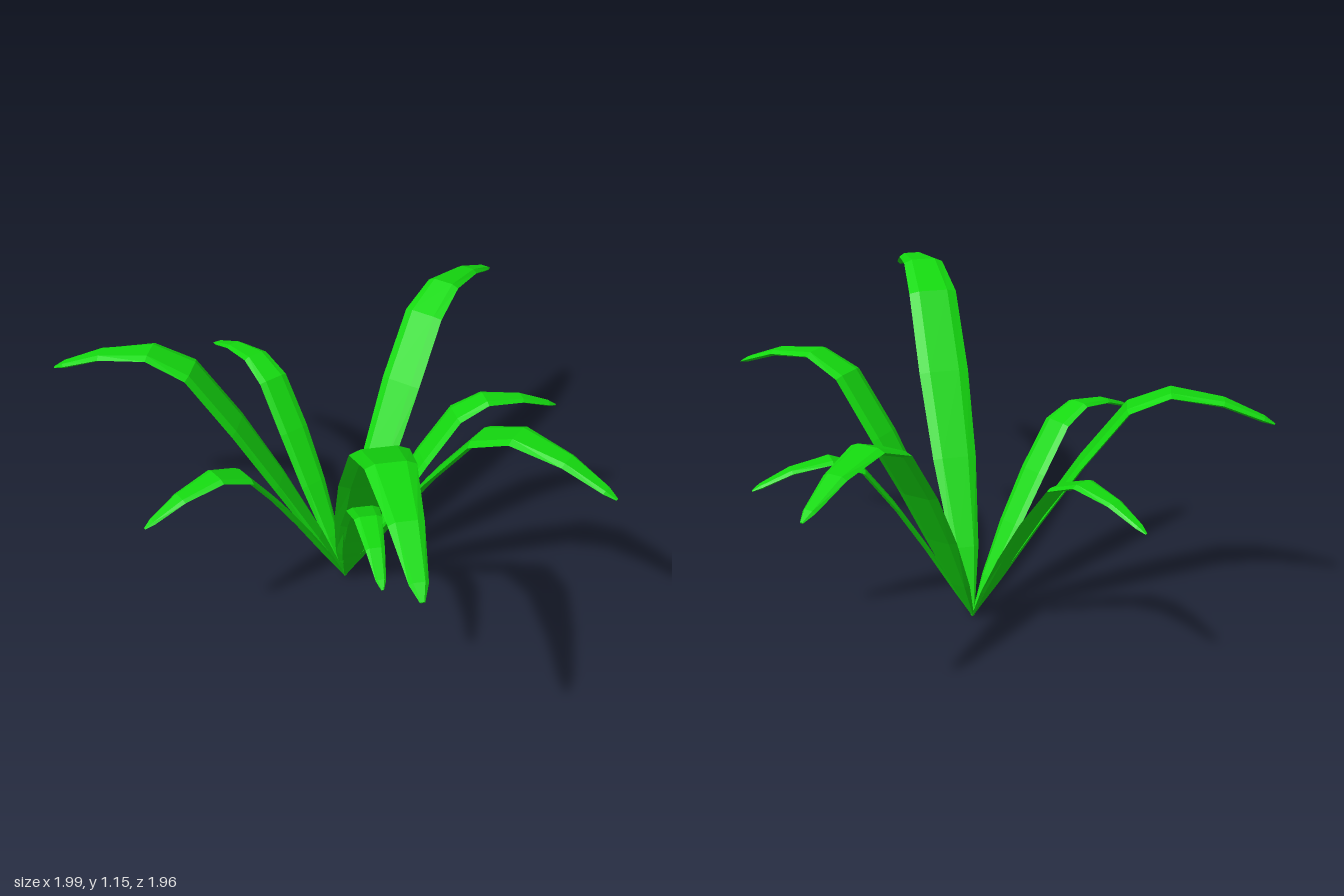
import * as THREE from 'three';

// Leaf stations: distance out, height, full width
const SPINE = [
  [0, 0.01, 0.012], [0.1, 0.19, 0.085], [0.24, 0.43, 0.135], [0.385, 0.66, 0.155],
  [0.54, 0.872, 0.15], [0.68, 0.932, 0.125], [0.86, 0.905, 0.085], [1.0, 0.85, 0.045], [1.04, 0.832, 0.012],
];
// Flattened six-sided section: across (times width), up (times thickness)
const SECTION = [[0.5, 0], [0.3, 1], [-0.3, 1], [-0.5, 0], [-0.3, -1], [0.3, -1]];

// Closed tube of sections along the arching spine, growing towards +x
function leafGeometry() {
  const pos = [], index = [], n = SECTION.length, last = SPINE.length - 1;
  SPINE.forEach(([r, y, w], i) => {
    const a = SPINE[Math.max(i - 1, 0)], b = SPINE[Math.min(i + 1, last)];
    const len = Math.hypot(b[0] - a[0], b[1] - a[1]);
    const nx = -(b[1] - a[1]) / len, ny = (b[0] - a[0]) / len;
    const t = Math.min(0.011, w * 0.2);
    for (const [u, v] of SECTION) pos.push(r + nx * v * t, y + ny * v * t, u * w);
  });
  for (let i = 0; i < last; i++) {
    for (let j = 0; j < n; j++) {
      const a = i * n + j, b = i * n + (j + 1) % n;
      index.push(a, a + n, b, b, a + n, b + n);
    }
  }
  // End caps
  for (let j = 1; j < n - 1; j++) {
    index.push(0, j, j + 1);
    index.push(last * n, last * n + j + 1, last * n + j);
  }
  const g = new THREE.BufferGeometry();
  g.setAttribute('position', new THREE.Float32BufferAttribute(pos, 3));
  g.setIndex(index);
  const flat = g.toNonIndexed();
  flat.computeVertexNormals();
  return flat;
}

export function createModel() {
  const plant = new THREE.Group();
  plant.name = 'leafyPlant';
  const material = new THREE.MeshStandardMaterial({ color: 0x14d90f, flatShading: true, side: THREE.DoubleSide });
  const geometry = leafGeometry();
  const root = [-0.05, 0.07];

  // Leaf tips (x, z); every leaf is the same shape scaled to its reach
  const tips = [
    [-0.09, -0.98], [0.46, -0.55], [0.99, 0.055], [0.855, 0.975],
    [0.49, 0.62], [-0.29, 0.845], [-0.995, 0.51], [-0.83, -0.16],
  ];
  tips.forEach(([x, z], i) => {
    const dx = x - root[0], dz = z - root[1];
    const leaf = new THREE.Mesh(geometry, material);
    leaf.name = `leaf${i + 1}`;
    leaf.position.set(root[0], 0, root[1]);
    leaf.rotation.y = Math.atan2(-dz, dx);
    leaf.scale.setScalar(Math.hypot(dx, dz) / 1.04);
    plant.add(leaf);
  });
  return plant;
}
